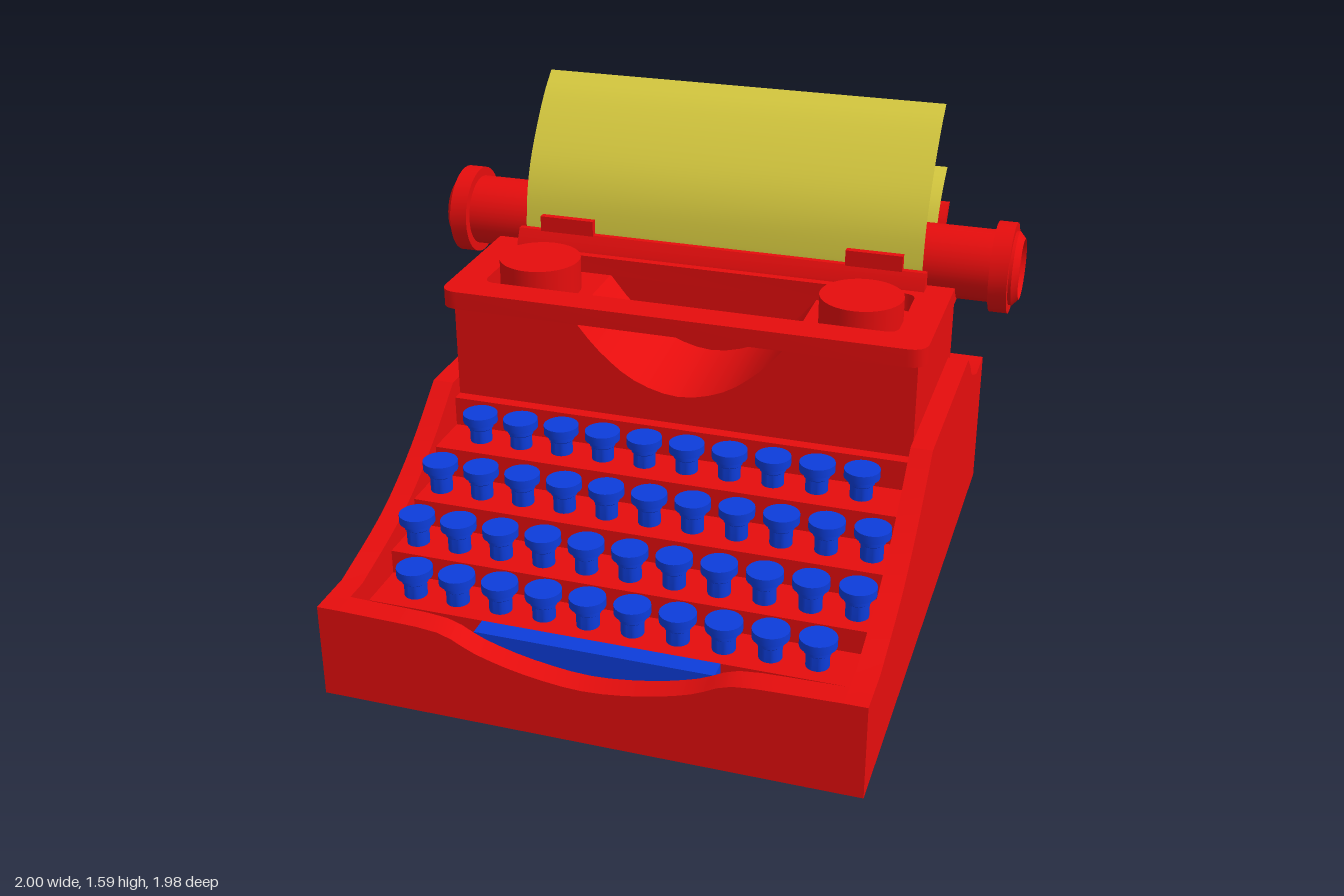
import * as THREE from 'three';
import { toCreasedNormals } from 'three/addons/utils/BufferGeometryUtils.js';

const red = new THREE.MeshStandardMaterial({ color: 0xe60d0d });
const blue = new THREE.MeshStandardMaterial({ color: 0x0d3ddb });
const yellow = new THREE.MeshStandardMaterial({ color: 0xd9cc40, side: THREE.DoubleSide });

const V2 = ([a, b]) => new THREE.Vector2(a, b);
const shapeOf = (pts) => new THREE.Shape(pts.map(V2));
const smooth = (pts, n) => new THREE.SplineCurve(pts.map(V2)).getPoints(n).map((p) => [p.x, p.y]);
const crease = (geo) => toCreasedNormals(geo, 0.6);
const extrude = (shape, depth) =>
  new THREE.ExtrudeGeometry(shape, { depth, bevelEnabled: false, curveSegments: 8 });

// Side profile of (z, y) points swept from x0 to x1
const sweepX = (pts, x0, x1) =>
  crease(extrude(shapeOf(pts), x1 - x0).rotateY(-Math.PI / 2).translate(x1, 0, 0));
// Front profile of (x, y) points swept from z0 to z1
const sweepZ = (pts, z0, z1) => crease(extrude(shapeOf(pts), z1 - z0).translate(0, 0, z0));
const box = (x0, x1, y0, y1, z0, z1) =>
  new THREE.BoxGeometry(x1 - x0, y1 - y0, z1 - z0)
    .translate((x0 + x1) / 2, (y0 + y1) / 2, (z0 + z1) / 2);
const lathe = (pts, n) => crease(new THREE.LatheGeometry(pts.map(V2), n));

// Rectangle with rounded corners, as a Shape or a hole Path
function roundRect(path, x0, y0, x1, y1, r) {
  path.moveTo(x0 + r, y0);
  path.lineTo(x1 - r, y0).quadraticCurveTo(x1, y0, x1, y0 + r);
  path.lineTo(x1, y1 - r).quadraticCurveTo(x1, y1, x1 - r, y1);
  path.lineTo(x0 + r, y1).quadraticCurveTo(x0, y1, x0, y1 - r);
  path.lineTo(x0, y0 + r).quadraticCurveTo(x0, y0, x0 + r, y0);
  return path;
}

export function createModel() {
  const group = new THREE.Group();
  const add = (name, geo, mat = red, parent = group) => {
    const mesh = new THREE.Mesh(geo, mat);
    mesh.name = name;
    parent.add(mesh);
    return mesh;
  };

  // Body: stepped core between two curved side walls
  const back = [...smooth([[-0.58, 0.72], [-0.65, 0.665], [-0.71, 0.605], [-0.84, 0.55]], 10),
    [-0.99, 0.55], [-0.99, 0.06]];
  const slope = smooth([[0.83, 0.37], [0.6, 0.43], [0.45, 0.49], [0.28, 0.59], [0.11, 0.72]], 14);
  const wall = [[0.99, 0.06], [0.99, 0.37], ...slope, ...back];
  const steps = [[0.91, 0.22], [0.8, 0.29], [0.63, 0.37], [0.45, 0.46], [0.27, 0.56], [0.1, 0.66], [0.06, 0.72]];
  const core = [[0.91, 0.06]];
  steps.forEach(([z, y], i) => {
    core.push([z, y]);
    if (i < steps.length - 1) core.push([steps[i + 1][0], y]);
  });
  add('bodyCore', sweepX([...core, ...back], -0.77, 0.77));
  add('leftSideWall', sweepX(wall, 0.77, 0.84));
  add('rightSideWall', sweepX(wall, -0.84, -0.77));

  // Front wall with the scooped lip
  const lip = smooth([[0.64, 0.367], [0.45, 0.357], [0.33, 0.305], [0.18, 0.265], [0, 0.245],
    [-0.18, 0.265], [-0.33, 0.305], [-0.45, 0.357], [-0.64, 0.367]], 24);
  add('frontWall', sweepZ([[-0.77, 0.06], [0.77, 0.06], [0.77, 0.37], ...lip, [-0.77, 0.37]], 0.91, 0.99));

  // Feet
  for (const x of [-0.66, 0.66]) {
    for (const z of [0.845, -0.827]) {
      add('foot', new THREE.CylinderGeometry(0.073, 0.073, 0.07, 24).translate(x, 0.035, z));
    }
  }

  // Keys: four stepped rows
  const keys = new THREE.Group();
  keys.name = 'keys';
  group.add(keys);
  const keyGeo = lathe([[0, -0.01], [0.036, -0.01], [0.036, 0.045], [0.042, 0.05], [0.042, 0.068],
    [0.057, 0.07], [0.057, 0.098], [0, 0.098]], 24);
  const rows = [[0.175, 0.56, 10], [0.36, 0.467, 11], [0.55, 0.375, 11], [0.72, 0.29, 10]];
  for (const [z, y, count] of rows) {
    for (let i = 0; i < count; i++) {
      const x = (i - (count - 1) / 2) * 0.1425 + (count === 10 ? -0.006 : 0);
      add('key', keyGeo, blue, keys).position.set(x, y, z);
    }
  }
  add('spaceBar', box(-0.378, 0.372, 0.21, 0.31, 0.827, 0.89), blue);

  // Upper housing with a scooped type basket
  const notch = smooth([[0.36, 0.99], [0.27, 0.885], [0.15, 0.795], [0, 0.757],
    [-0.15, 0.795], [-0.27, 0.885], [-0.36, 0.99]], 18);
  add('housingFront', sweepZ([[-0.77, 0.7], [0.77, 0.7], [0.77, 0.99], ...notch, [-0.77, 0.99]], -0.32, 0.06));
  add('housingRear', box(-0.77, 0.77, 0.66, 0.99, -0.63, -0.32));
  add('rearPanel', box(-0.7, 0.7, 0.6, 0.99, -0.67, -0.63));

  // Top plate: rounded frame around the ribbon tray
  const plate = roundRect(new THREE.Shape(), -0.8, -0.11, 0.8, 0.7, 0.06);
  plate.holes.push(roundRect(new THREE.Path(), -0.69, 0, 0.69, 0.315, 0.04));
  add('topPlate', crease(extrude(plate, 0.06).rotateX(-Math.PI / 2).translate(0, 0.99, 0)));

  // Ribbon spools and paper guides, mirrored
  for (const s of [-1, 1]) {
    add('ribbonSpool', new THREE.CylinderGeometry(0.135, 0.135, 0.12, 40).translate(s * 0.545, 1.04, -0.145));
    add('paperGuide', box(s * 0.535 - 0.095, s * 0.535 + 0.095, 1.05, 1.155, -0.392, -0.368));
  }
  add('guideRail', sweepX([[-0.34, 1.04], [-0.345, 1.06], [-0.37, 1.105], [-0.39, 1.105], [-0.39, 1.04]], -0.71, 0.71));

  // Platen roller with flanged knobs
  const half = [[0.12, 0], [0.12, 0.91], [0.15, 0.91], [0.15, 0.97], [0.122, 0.97], [0.122, 0.98],
    [0.1, 1], [0.095, 0.985], [0, 0.985]];
  const platen = [...half.slice(1).reverse().map(([r, x]) => [r, -x]), ...half.slice(1)];
  add('platen', lathe(platen, 40).rotateZ(-Math.PI / 2).translate(0, 1.1, -0.515));

  // Curved paper rest behind the platen
  const restFront = smooth([[-0.635, 1.03], [-0.645, 1.12], [-0.67, 1.18], [-0.715, 1.225]], 8);
  const restBack = smooth([[-0.748, 1.222], [-0.705, 1.165], [-0.68, 1.11], [-0.67, 1.03]], 8);
  add('paperRest', sweepX([...restFront, ...restBack], -0.715, 0.715));

  // Paper: one sheet wrapped under the platen
  const sheet = [[-0.79, 1.33], [-0.73, 1.285], [-0.675, 1.225]];
  for (let i = 0; i <= 10; i++) {
    const a = Math.PI * (0.9 + i * 0.115);
    sheet.push([-0.515 + 0.124 * Math.cos(a), 1.1 + 0.124 * Math.sin(a)]);
  }
  sheet.push([-0.41, 1.225], [-0.45, 1.325], [-0.52, 1.43], [-0.6, 1.525], [-0.67, 1.585]);
  const n = 64;
  const path = smooth(sheet, n);
  const paper = new THREE.PlaneGeometry(1.385, 1, 1, n);
  const pos = paper.attributes.position;
  for (let i = 0; i < pos.count; i++) {
    const [z, y] = path[n - Math.floor(i / 2)];
    pos.setXYZ(i, pos.getX(i), y, z);
  }
  paper.computeVertexNormals();
  add('paper', paper, yellow);

  return group;
}
